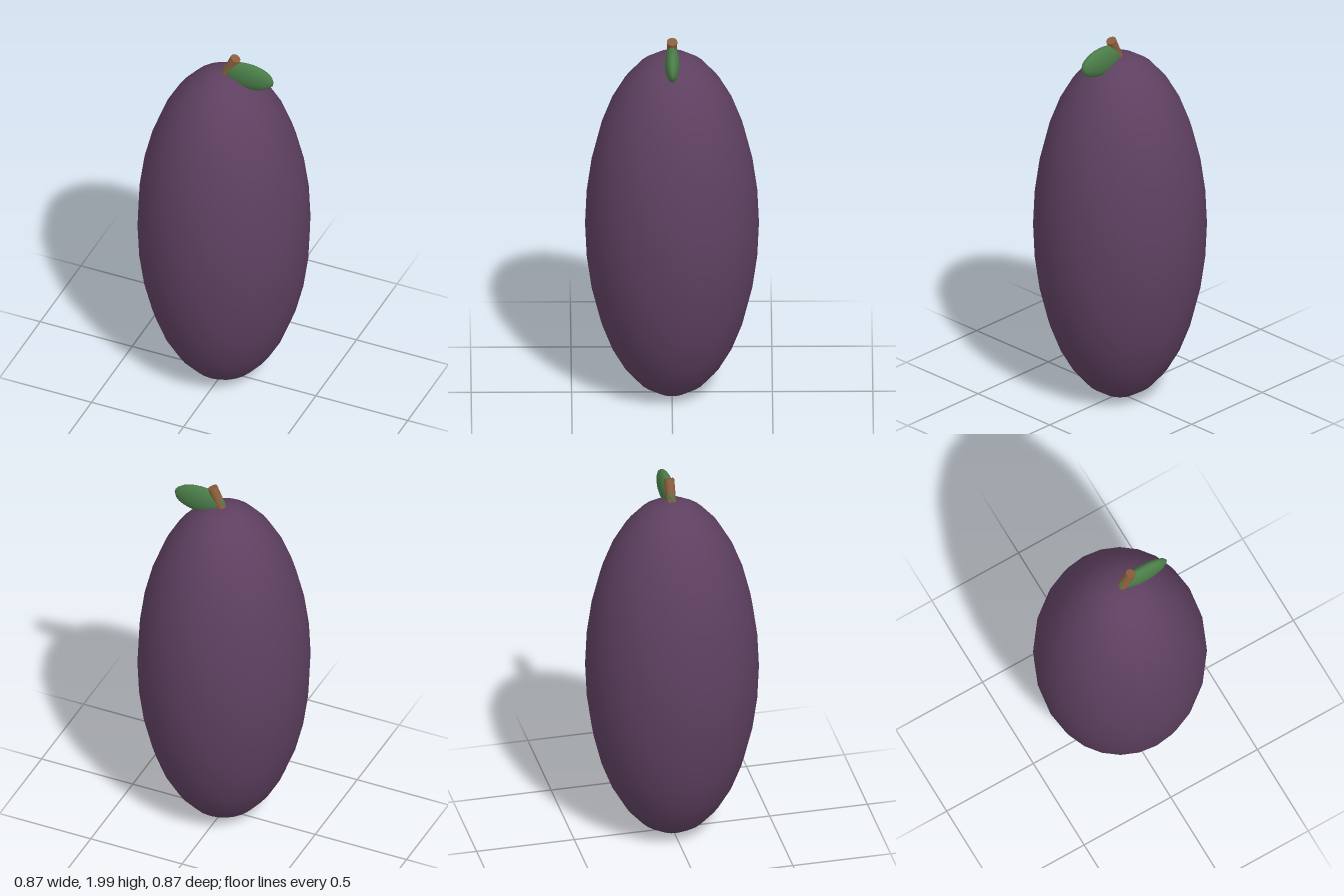
import * as THREE from 'three';

const paint = (name, color) => {
  const material = new THREE.MeshStandardMaterial({ color });
  material.name = name;
  return material;
};

// Smooth ellipsoid with the given centre and half sizes
function ellipsoid(name, material, centre, half, columns, rows) {
  const geometry = new THREE.SphereGeometry(1, columns, rows);
  geometry.scale(...half);
  const mesh = new THREE.Mesh(geometry, material);
  mesh.name = name;
  mesh.position.set(...centre);
  return mesh;
}

export function createModel() {
  const model = new THREE.Group();
  model.name = 'fruit';

  // Tall fruit body
  model.add(ellipsoid('fruitBody', paint('plum purple', 0x5e4060), [0, 0.945, 0], [0.433, 0.943, 0.433], 24, 16));

  // Short stem leaning to the left, sunk into the crown
  const base = new THREE.Vector3(-0.002, 1.845, 0);
  const tip = new THREE.Vector3(0.063, 1.984, 0);
  const axis = tip.clone().sub(base);
  const stem = new THREE.Mesh(
    new THREE.CylinderGeometry(0.026, 0.024, axis.length(), 16),
    paint('stem brown', 0x8b5e3c)
  );
  stem.name = 'stem';
  stem.position.copy(base).add(tip).multiplyScalar(0.5);
  stem.quaternion.setFromUnitVectors(new THREE.Vector3(0, 1, 0), axis.normalize());
  model.add(stem);

  // Plump upright leaf beside the stem
  model.add(ellipsoid('leaf', paint('leaf green', 0x4a7c48), [0.13, 1.893, 0], [0.14, 0.074, 0.037], 16, 12));

  return model;
}
